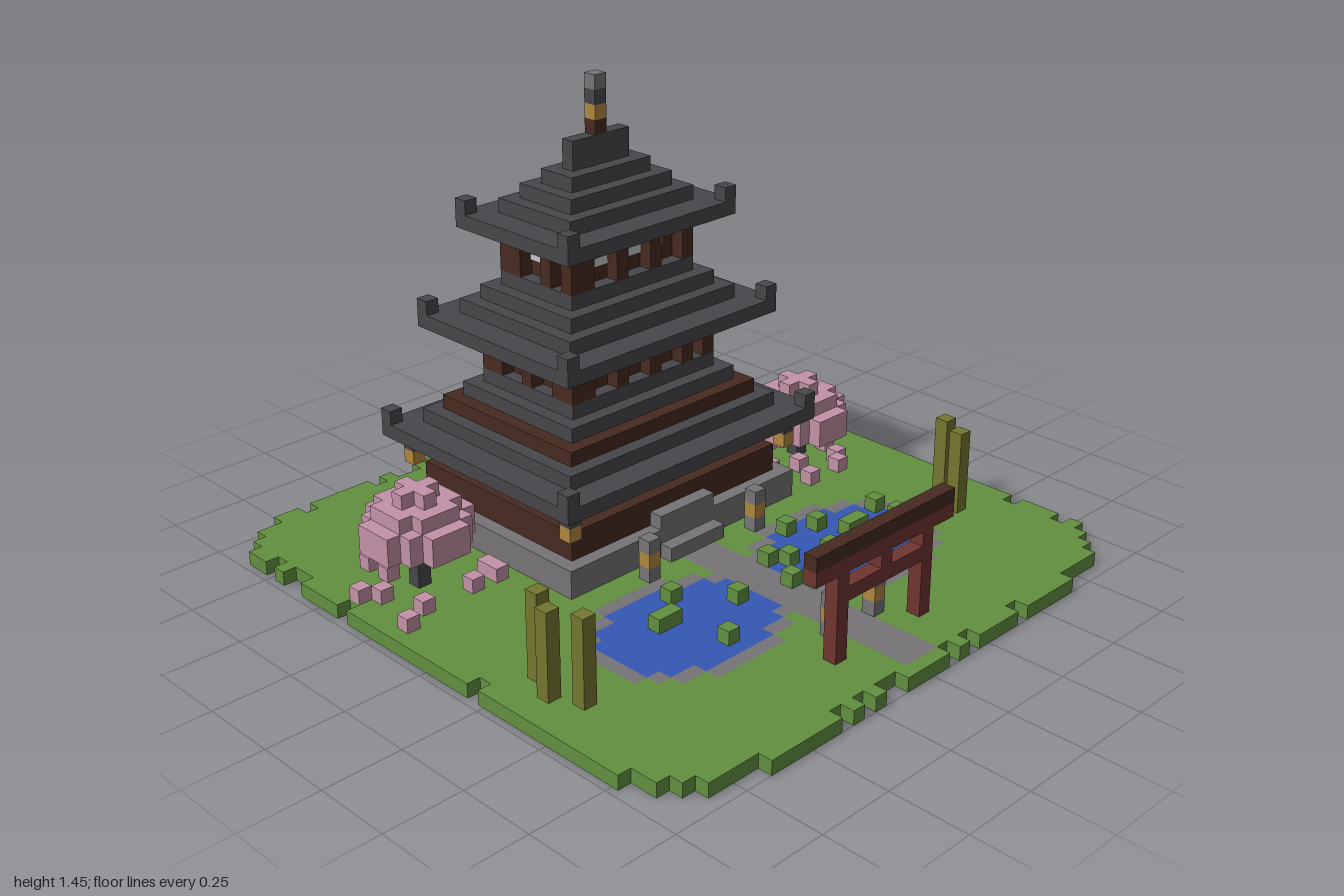
import * as THREE from 'three';
import { mergeGeometries } from 'three/addons/utils/BufferGeometryUtils.js';

const U = 1 / 22; // edge of one block
const CZ = -7.5; // temple centre line in blocks

const mat = (name, color) => {
  const m = new THREE.MeshStandardMaterial({ color });
  m.name = name;
  return m;
};

export function createModel() {
  const grass = mat('grass green', 0x61903f);
  const stone = mat('stone grey', 0x767476);
  const water = mat('water blue', 0x3457b2);
  const slate = mat('slate', 0x47474b);
  const wood = mat('dark wood', 0x472a20);
  const red = mat('gate red', 0x6f3530);
  const pink = mat('blossom pink', 0xc492a8);
  const bambooGreen = mat('bamboo olive', 0x75782f);
  const gold = mat('lamp gold', 0xb08740);
  const paper = mat('paper white', 0xc3c7c6);

  const model = new THREE.Group();
  model.name = 'templeGarden';

  // Boxes are [x0, x1, y0, y1, z0, z1] in blocks, merged into one mesh
  const build = (name, material, boxes) => {
    const parts = boxes.map(([x0, x1, y0, y1, z0, z1]) =>
      new THREE.BoxGeometry((x1 - x0) * U, (y1 - y0) * U, (z1 - z0) * U)
        .translate((x0 + x1) * U / 2, (y0 + y1) * U / 2, (z0 + z1) * U / 2));
    const mesh = new THREE.Mesh(mergeGeometries(parts), material);
    mesh.name = name;
    model.add(mesh);
  };
  const slab = (hx, hz, y0, y1) => [-hx, hx, y0, y1, CZ - hz, CZ + hz];
  const cell = (x, z, y0, y1) => [x - 0.5, x + 0.5, y0, y1, z, z + 1];

  // Ground layer: ragged lawn, paved path, two ponds with stone rims
  const pondHalf = [6, 6, 6, 5, 3.5];
  const rimHalf = [7, 7, 7, 6.5, 5, 3.5];
  const backInset = [4, 2, 1], frontInset = [7, 3, 2, 1];
  const notchLeft = [-17, -15, -14, -9, 4, 17], notchRight = [-18, -16, -13, -6, 12, 16];
  const notchBack = [-15, -9, -7, -6, 5, 7, 8], notchFront = [-8, -6, -4, -3, 2, 4, 9];
  const groundKind = (x, z) => {
    const inset = Math.max(backInset[z + 22] ?? 0, frontInset[21 - z] ?? 0);
    if (Math.abs(x) > 21 - inset) return null;
    if (x === -21 && notchLeft.includes(z)) return null;
    if (x === 21 && notchRight.includes(z)) return null;
    if (z === -22 && notchBack.includes(x)) return null;
    if (z === 21 && notchFront.includes(x)) return null;
    if (Math.abs(x) <= 10 && z >= -16 && z < 1) return null;
    if (Math.abs(x) <= 1 && z <= 20 && z >= 1) return 'path';
    const d = Math.abs(z - 8), px = Math.abs(Math.abs(x) - 7.5);
    if (px < (pondHalf[d] ?? 0)) return 'pond';
    if (px < (rimHalf[d] ?? 0)) return 'path';
    return 'lawn';
  };
  const runs = { lawn: [], path: [], pond: [] };
  for (let z = -22; z < 22; z++) {
    let start = -22;
    for (let x = -21; x <= 22; x++) {
      const previous = groundKind(x - 1, z);
      if (groundKind(x, z) === previous) continue;
      if (previous) runs[previous].push([start - 0.5, x - 0.5, 0, 1, z, z + 1]);
      start = x;
    }
  }
  build('lawn', grass, runs.lawn);
  build('pathAndPondRims', stone, runs.path);
  build('ponds', water, runs.pond);

  // Temple plinth and steps
  build('plinth', stone, [slab(10.5, 8.5, 0, 3)]);
  build('steps', stone, [[-2.5, 2.5, 3, 4, 0, 1], [-2.5, 2.5, 1, 2, 1, 2]]);

  // Storeys: recessed wall, outer posts and paper windows on all four sides
  const windows = [];
  const addWindow = (x, j, hx, hz, y) => {
    if (x !== null) {
      windows.push([x - 0.5, x + 0.5, y, y + 2, CZ + hz, CZ + hz + 0.1]);
      windows.push([x - 0.5, x + 0.5, y, y + 2, CZ - hz - 0.1, CZ - hz]);
    } else {
      windows.push([hx, hx + 0.1, y, y + 2, j, j + 1]);
      windows.push([-hx - 0.1, -hx, y, y + 2, j, j + 1]);
    }
  };
  build('groundStorey', wood, [slab(9.5, 7.5, 3, 5), slab(8.5, 6.5, 5, 8)]);
  for (const x of [-5, -4, -2, 2, 4, 5]) addWindow(x, null, 8.5, 6.5, 5);
  for (const z of [-11, -10, -6, -5]) addWindow(null, z, 8.5, 6.5, 5);

  const storey = (name, hx, hz, y) => {
    const boxes = [slab(hx - 1, hz - 1, y, y + 3)];
    const nx = hx * 2, nz = hz * 2;
    for (let i = 0; i < nx; i++) {
      const x = i - hx + 0.5;
      if (i % 3 === 1 || i === 0 || i === nx - 1) {
        boxes.push(cell(x, CZ - hz, y, y + 3), cell(x, CZ + hz - 1, y, y + 3));
      } else if (i > 1 && i < nx - 2) addWindow(x, null, hx - 1, hz - 1, y + 1);
    }
    for (let j = 1; j < nz - 1; j++) {
      const z = CZ - hz + j;
      if (j % 3 === 1) {
        boxes.push(cell(hx - 0.5, z, y, y + 3), cell(0.5 - hx, z, y, y + 3));
      } else if (j > 1 && j < nz - 2) addWindow(null, z, hx - 1, hz - 1, y + 1);
    }
    build(name, wood, boxes);
  };
  storey('middleStorey', 6.5, 4.5, 12);
  storey('topStorey', 5.5, 3.5, 19);
  build('windows', paper, windows);

  // Stepped roofs with raised corner blocks
  const roof = (name, y, hx, steps) => {
    const hz = hx - 2;
    const boxes = [slab(hx, hz, y, y + 1)];
    for (const sx of [-1, 1]) {
      for (const z of [CZ - hz, CZ + hz - 1]) boxes.push(cell(sx * (hx - 0.5), z, y + 1, y + 2));
    }
    for (const [h, y0, y1] of steps) boxes.push(slab(h, h - 2, y0, y1));
    build(name, slate, boxes);
  };
  roof('lowerRoof', 7, 11.5, [[9.5, 8, 9], [7.5, 10, 11], [6.5, 11, 12]]);
  build('lowerRoofBand', wood, [slab(8.5, 6.5, 9, 10)]);
  roof('middleRoof', 15, 9.5, [[7.5, 16, 17], [6.5, 17, 18], [5.5, 18, 19]]);
  roof('topRoof', 22, 7.5, [[5.5, 23, 24], [4.5, 24, 25], [3.5, 25, 26], [2.5, 26, 28]]);

  // Finial
  [wood, gold, slate, stone].forEach((m, i) =>
    build('finial' + (i + 1), m, [cell(0, -8, 28 + i, 29 + i)]));

  // Lamps under the eaves and standing lanterns along the path
  const eaves = [[-10, -16], [10, -16], [-10, 0], [10, 0]];
  build('eaveLampHangers', slate, eaves.map(([x, z]) => cell(x, z, 6, 7)));
  build('eaveLamps', gold, eaves.map(([x, z]) => cell(x, z, 5, 6)));
  const lanterns = [[-5, 2], [5, 2], [-2, 15], [2, 15]];
  build('lanternStones', stone, lanterns.flatMap(([x, z]) => [cell(x, z, 1, 2), cell(x, z, 3, 4)]));
  build('lanternLights', gold, lanterns.map(([x, z]) => cell(x, z, 2, 3)));

  // Gate
  build('gateFrame', red, [
    cell(-4, 17, 1, 7), cell(4, 17, 1, 7), cell(0, 17, 6, 7),
    [-4.5, 4.5, 5, 6, 17, 18], [-6.5, 6.5, 7, 8, 17, 18]]);
  build('gateCap', wood, [[-6.5, 6.5, 8, 9, 17, 18]]);

  // Blossom trees: round layers of blocks on a short trunk
  const tree = (name, cx, cz, y) => {
    build(name + 'Trunk', slate, [cell(cx, cz, 1, y)]);
    const boxes = [];
    [11, 11, 6, 1].forEach((r2, layer) => {
      for (let dz = -3; dz <= 3; dz++) {
        if (dz * dz > r2) continue;
        const w = Math.floor(Math.sqrt(r2 - dz * dz)) + 0.5;
        boxes.push([cx - w, cx + w, y + layer, y + layer + 1, cz + dz, cz + dz + 1]);
      }
    });
    build(name + 'Blossom', pink, boxes);
  };
  tree('leftwardTree', 16, -4, 3);
  tree('rightwardTree', -16, -8, 4);
  const petals = [[-20, -9], [-20, -4], [-13, -11], [-15, -12], [-17, -12], [-12, -6], [-12, -5],
    [-18, -5], [-14, -5], [-17, -10], [-19, -8], [12, -7], [12, -3], [13, 0], [20, -8], [20, -7],
    [20, -6], [19, -6], [16, 0], [14, -2], [18, -3], [15, -6], [17, -1]];
  build('fallenPetals', pink, petals.map(([x, z]) => cell(x, z, 1, 2)));

  // Bamboo stalks
  const stalks = [[-18, 6], [-19, 8], [-18, 10], [18, 8], [17, 10]];
  build('bamboo', bambooGreen, stalks.map(([x, z]) => cell(x, z, 1, 7)));

  // Lily pads
  const pads = [[-6, 5], [-9, 7], [-8, 7], [-3, 8], [-7, 11], [6, 4], [2, 6], [3, 7], [1, 9], [2, 10],
    [8, 5], [9, 7], [10, 7], [13, 6], [13, 8], [6, 8], [10, 10], [7, 12]];
  build('lilyPads', grass, pads.map(([x, z]) => cell(x, z, 1, 2)));

  return model;
}
